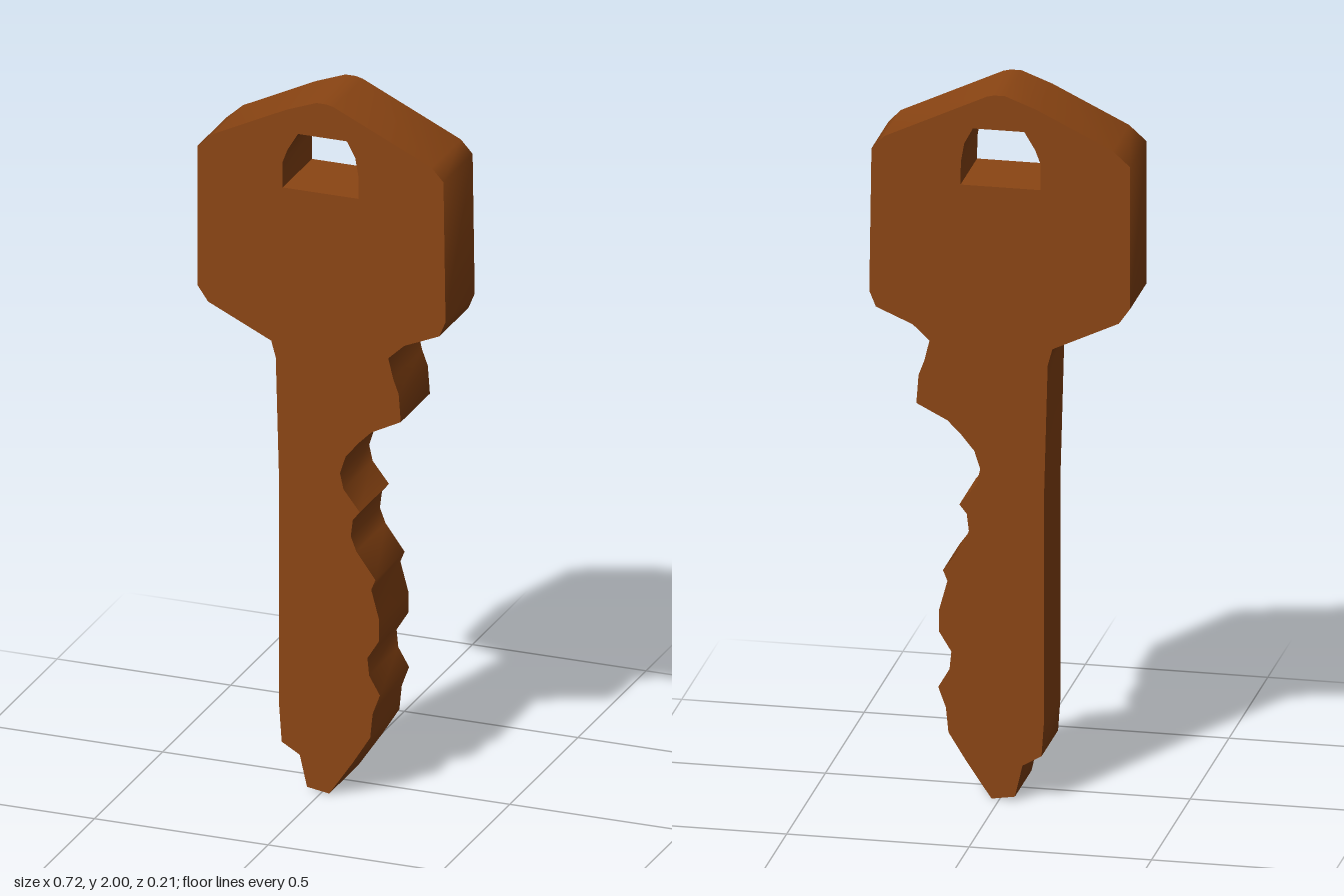
import * as THREE from 'three';
import { toCreasedNormals } from 'three/addons/utils/BufferGeometryUtils.js';

const toPoints = (pairs) => pairs.map(([x, y]) => new THREE.Vector2(x, y));

// Outline sections, counter-clockwise from the tip
const cutEdge = [
  [-0.042, 0.01], [0.022, 0], [0.09, 0.1], [0.14, 0.18], [0.147, 0.25], [0.168, 0.307],
  [0.137, 0.36], [0.132, 0.41], [0.166, 0.465], [0.166, 0.525], [0.143, 0.61], [0.155, 0.64],
  [0.1, 0.715], [0.084, 0.757], [0.09, 0.805], [0.11, 0.83], [0.063, 0.89], [0.053, 0.935],
  [0.069, 0.985], [0.106, 1.03], [0.143, 1.067], [0.228, 1.11], [0.222, 1.19], [0.206, 1.233],
  [0.192, 1.29],
];
const head = [
  [0.238, 1.333], [0.339, 1.376], [0.357, 1.42], [0.351, 1.825], [0.317, 1.862],
  [0.035, 1.995], [0.015, 2], [-0.015, 2], [-0.1, 1.968], [-0.31, 1.866], [-0.358, 1.823],
  [-0.358, 1.42], [-0.327, 1.376],
];
const straightEdge = [
  [-0.145, 1.29], [-0.132, 1.243], [-0.122, 0.87], [-0.122, 0.23], [-0.115, 0.13], [-0.063, 0.1],
];
const keyRingHole = [
  [-0.112, 1.74], [-0.112, 1.815], [-0.098, 1.852], [-0.068, 1.902],
  [0.073, 1.902], [0.097, 1.857], [0.106, 1.805], [0.107, 1.74],
];

export function createModel() {
  const group = new THREE.Group();
  group.name = 'key';

  // Thick key plate with the ring hole cut through the head
  const shape = new THREE.Shape(toPoints([...cutEdge, ...head, ...straightEdge]));
  shape.holes.push(new THREE.Path(toPoints(keyRingHole)));
  const depth = 0.214;
  const geometry = new THREE.ExtrudeGeometry(shape, { depth, bevelEnabled: false });
  geometry.translate(0, 0, -depth / 2);

  const plate = new THREE.Mesh(
    toCreasedNormals(geometry, THREE.MathUtils.degToRad(75)),
    new THREE.MeshStandardMaterial({ color: 0x8b4513 })
  );
  plate.name = 'keyPlate';
  group.add(plate);
  return group;
}
